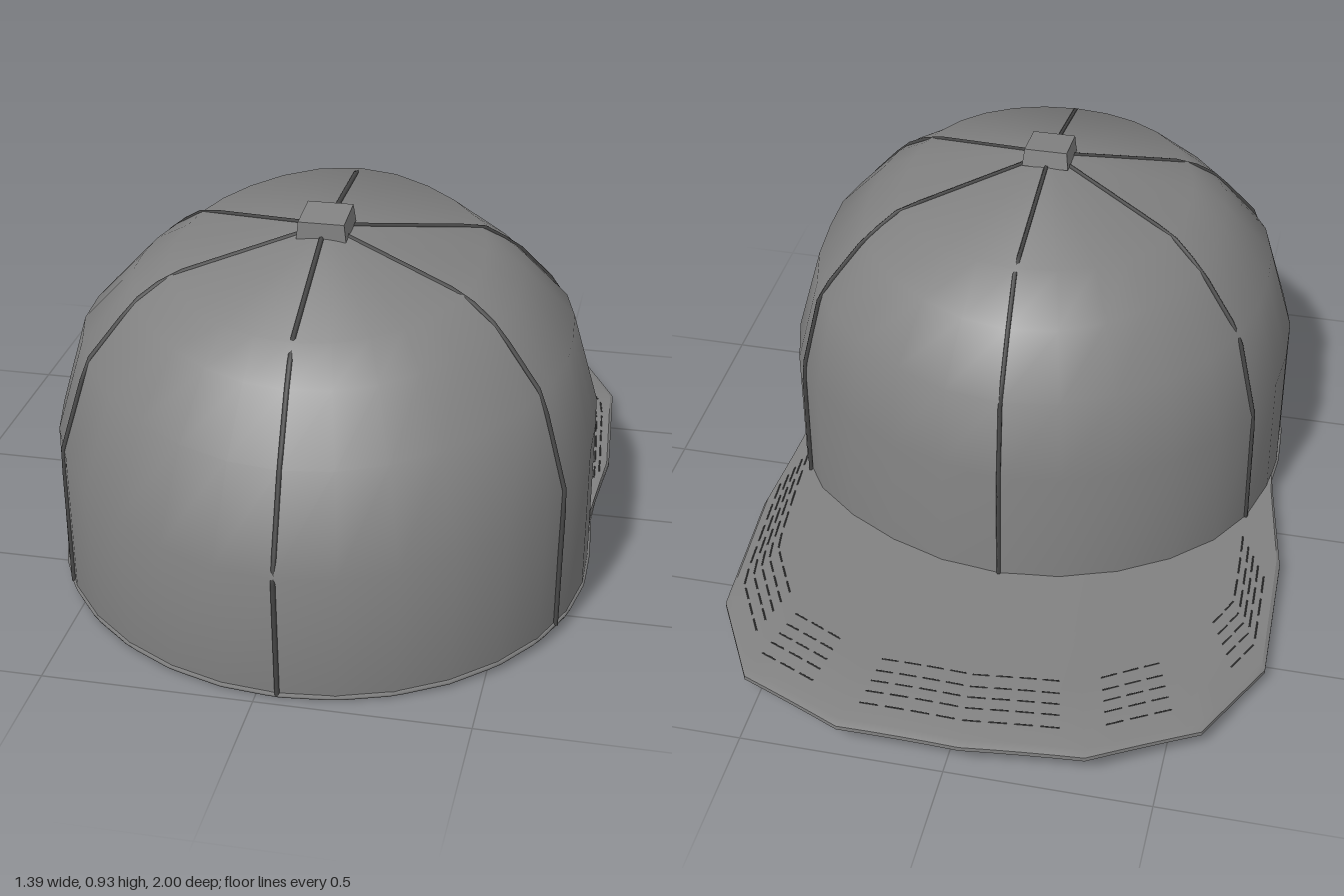
import * as THREE from 'three';
import { toCreasedNormals, mergeGeometries } from 'three/addons/utils/BufferGeometryUtils.js';

const fabric = new THREE.MeshStandardMaterial({ color: 0x828282, side: THREE.DoubleSide });
const darkThread = new THREE.MeshStandardMaterial({ color: 0x484848 });
const rad = THREE.MathUtils.degToRad, lerp = THREE.MathUtils.lerp;
const V = (x, y, z) => new THREE.Vector3(x, y, z);

// Crown profiles, [radius, height] from the hem to the button
const FRONT = [[0.74, 0.09], [0.725, 0.4], [0.69, 0.61], [0.585, 0.75], [0.485, 0.86], [0.05, 0.89], [0, 0.89]];
const SIDE = [[0.655, 0.03], [0.657, 0.4], [0.592, 0.63], [0.465, 0.765], [0.375, 0.815], [0.05, 0.885], [0, 0.89]];
const BACK = [[0.64, 0.005], [0.67, 0.33], [0.58, 0.55], [0.49, 0.7], [0.425, 0.785], [0.05, 0.885], [0, 0.89]];
const CENTER_Z = 0.33;

// Point on the crown: direction 0 is over the brim, growing towards +x
function crownPoint(direction, level) {
  const end = (Math.cos(direction) > 0 ? FRONT : BACK)[level], side = SIDE[level];
  const angle = Math.atan2(Math.sin(direction) * end[0], Math.cos(direction) * side[0]);
  const c = Math.cos(angle), s = Math.sin(angle);
  // the front seams stand out a little, more on the +x side
  const bulge = 1 + (c > 0 ? (s > 0 ? 0.52 : 0.22) * s ** 6 * c * c : 0);
  const dz = -end[0] * c * bulge;
  return V(0.027 + 0.035 * dz + side[0] * s * bulge, lerp(side[1], end[1], c * c), CENTER_Z + dz);
}

// Surface through rows x columns of points
function gridGeometry(rows, cols, point) {
  const pos = [], index = [];
  for (let i = 0; i <= rows; i++) for (let j = 0; j <= cols; j++) pos.push(...point(i, j).toArray());
  for (let i = 0; i < rows; i++) for (let j = 0; j < cols; j++) {
    const a = i * (cols + 1) + j, b = a + 1, c = a + cols + 1, d = c + 1;
    index.push(a, c, b, b, c, d);
  }
  const g = new THREE.BufferGeometry();
  g.setAttribute('position', new THREE.Float32BufferAttribute(pos, 3));
  g.setIndex(index);
  g.computeVertexNormals();
  return g;
}

// Thin round thread along straight pieces between points
function thread(points, radius, sides = 5) {
  const path = new THREE.CurvePath();
  for (let i = 1; i < points.length; i++) path.add(new THREE.LineCurve3(points[i - 1], points[i]));
  return new THREE.TubeGeometry(path, (points.length - 1) * 4, radius, sides);
}

// Outer edge of the brim, [x, z] from one side round to the other
const EDGE = [[-0.625, 0.17], [-0.69, -0.17], [-0.70, -0.55], [-0.58, -0.8], [-0.33, -0.96], [-0.04, -1],
  [0.26, -0.99], [0.53, -0.86], [0.665, -0.61], [0.69, -0.22], [0.66, 0.14]];
const BRIM_ANGLE = rad(76.5);

// Point on the brim: u runs 0..10 along the edge, inset is the distance in
// from the edge (Infinity reaches just inside the crown)
function brimPoint(u, inset, drop = 0) {
  const k = Math.min(Math.floor(u), 9), t = u - k;
  const inner = crownPoint(lerp(-BRIM_ANGLE, BRIM_ANGLE, u / 10), 0);
  const ex = lerp(EDGE[k][0], EDGE[k + 1][0], t), ez = lerp(EDGE[k][1], EDGE[k + 1][1], t);
  const f = Math.min(inset / Math.hypot(inner.x - ex, inner.z - ez), 1.05);
  const x = lerp(ex, inner.x, f), z = lerp(ez, inner.z, f);
  return V(x, 0.046 + 0.052 * (1 - (x / 0.7) ** 2) - drop, z);
}

export function createModel() {
  const cap = new THREE.Group();
  cap.name = 'cap';
  const add = (name, geometry, material = fabric) => {
    const mesh = new THREE.Mesh(geometry, material);
    mesh.name = name;
    cap.add(mesh);
    return mesh;
  };

  // Crown shell
  const SEGMENTS = 30;
  const shell = gridGeometry(6, SEGMENTS, (i, j) => crownPoint((j % SEGMENTS) / SEGMENTS * Math.PI * 2, i));
  add('crown', toCreasedNormals(shell, rad(50)));

  // Six panel seams
  for (const degrees of [0, 55.6, 113, 180, 243, 300.5]) {
    const points = [0, 1, 2, 3, 4, 5].map(level => crownPoint(rad(degrees), level));
    add('panelSeam', thread(points, 0.006), darkThread);
  }

  // Hem round the opening
  const hem = Array.from({ length: SEGMENTS + 1 }, (_, j) => crownPoint(j / SEGMENTS * Math.PI * 2, 0));
  add('hem', thread(hem, 0.006));

  // Brim: section from underside round the bevelled edge to the top,
  // as [inset, drop], swept from side to side
  const section = [[Infinity, 0.022], [0.4, 0.022], [0.2, 0.022], [0.02, 0.022], [0, 0.017],
    [0, 0.006], [0.02, 0], [0.2, 0], [0.4, 0], [Infinity, 0]];
  const brim = gridGeometry(section.length - 1, 40, (i, j) => brimPoint(j / 4, ...section[i]));
  add('brim', toCreasedNormals(brim, rad(25)));

  // Dashed stitch rows on the brim
  const dashes = [];
  for (const [from, to] of [[1.35, 2.3], [3.2, 3.7], [4.2, 5.8], [6.4, 6.9], [7.3, 8.9]]) {
    for (const inset of [0.08, 0.12, 0.155, 0.19, 0.23]) {
      for (let u = from; u < to; u += 0.22) {
        dashes.push(thread([brimPoint(u, inset), brimPoint(u + 0.16, inset)], 0.002, 4));
      }
    }
  }
  add('brimStitching', mergeGeometries(dashes), darkThread);

  // Square button on top
  const button = add('topButton', new THREE.CylinderGeometry(0.078, 0.085, 0.045, 4).toNonIndexed());
  button.geometry.rotateY(Math.PI / 4);
  button.geometry.computeVertexNormals();
  button.position.set(0.028, 0.904, CENTER_Z);
  button.rotation.x = 0.1;

  return cap;
}
